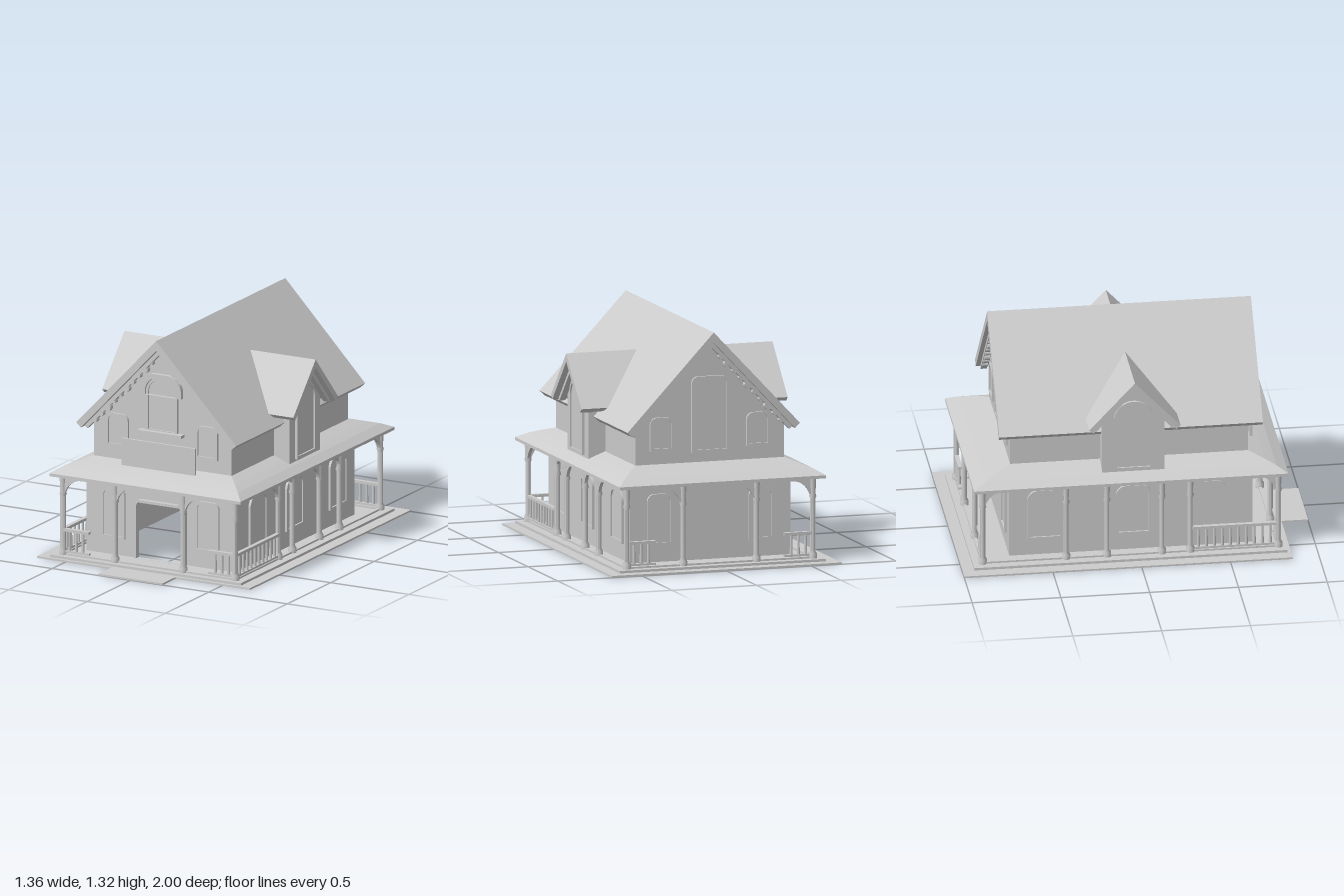
import * as THREE from 'three';

const material = new THREE.MeshStandardMaterial({ color: 0xcccccc, side: THREE.DoubleSide });

function add(parent, name, geometry, x = 0, y = 0, z = 0, ry = 0) {
  const mesh = new THREE.Mesh(geometry, material);
  mesh.name = name;
  mesh.position.set(x, y, z);
  mesh.rotation.y = ry;
  parent.add(mesh);
  return mesh;
}

const box = (w, h, d) => new THREE.BoxGeometry(w, h, d);
const poly = (pts) => new THREE.Shape(pts.map(([x, y]) => new THREE.Vector2(x, y)));
const extrude = (shape, depth) =>
  new THREE.ExtrudeGeometry(shape, { depth, bevelEnabled: false, curveSegments: 10 });

// Rectangle whose top corners are rounded into an arch
function arch(path, x0, x1, y0, y1, r) {
  const rx = Math.min(r, (x1 - x0) / 2), k = 0.45;
  path.moveTo(x0, y0);
  path.lineTo(x1, y0);
  path.lineTo(x1, y1 - r);
  path.bezierCurveTo(x1, y1 - r * k, x1 - rx * k, y1, x1 - rx, y1);
  path.lineTo(x0 + rx, y1);
  path.bezierCurveTo(x0 + rx * k, y1, x0, y1 - r * k, x0, y1 - r);
  path.lineTo(x0, y0);
  return path;
}

// Horizontal plate, optionally with a rectangular hole: rect = [x, zBack, zFront]
function slab(rect, hole, y0, y1) {
  const pts = ([x, zb, zf]) => [[-x, zb], [x, zb], [x, zf], [-x, zf]];
  const shape = poly(pts(rect));
  if (hole) shape.holes.push(poly(pts(hole)));
  return extrude(shape, y1 - y0).rotateX(Math.PI / 2).translate(0, y1, 0);
}

// Inverted V section with thickness t measured square to the slope
function chevron(half, eave, peak, t) {
  const len = Math.hypot(half, peak - eave);
  const nx = (t * (peak - eave)) / len, ny = (t * half) / len;
  return poly([[-half, eave], [-half + nx, eave - ny], [0, peak - (t * len) / half],
    [half - nx, eave - ny], [half, eave], [0, peak]]);
}

// Raised frame with a shallow pane, facing +z before rotation
function addWindow(parent, name, w, h, r, x, y, z, ry = 0) {
  const group = new THREE.Group();
  group.name = name;
  const f = 0.015;
  const frame = arch(new THREE.Shape(), -w / 2, w / 2, 0, h, r);
  frame.holes.push(arch(new THREE.Path(), -w / 2 + f, w / 2 - f, f, h - f, Math.max(r - f, 0.01)));
  add(group, 'windowFrame', extrude(frame, 0.014));
  add(group, 'windowPane', extrude(arch(new THREE.Shape(), -w / 2 + f, w / 2 - f, f, h - f, Math.max(r - f, 0.01)), 0.005));
  group.position.set(x, y, z);
  group.rotation.y = ry;
  parent.add(group);
}

// Hipped, slightly concave porch roof swept around a rectangle
function porchRoofGeometry() {
  const profile = [[0, 0.48], [0, 0.497], [0.3, 0.528], [0.6, 0.55], [1, 0.575], [1.2, 0.575], [1.2, 0.47], [0.25, 0.47]];
  const lerp = THREE.MathUtils.lerp, pos = [];
  const corner = (k, [t, y]) => [
    lerp(0.61, 0.44, t) * (k % 4 < 2 ? 1 : -1), y,
    k % 4 === 0 || k % 4 === 3 ? lerp(0.835, 0.63, t) : lerp(-0.935, -0.71, t)];
  for (let k = 0; k < 4; k++) {
    profile.forEach((p, j) => {
      const q = profile[(j + 1) % profile.length];
      const a = corner(k, p), b = corner(k + 1, p), c = corner(k + 1, q), d = corner(k, q);
      pos.push(...a, ...b, ...c, ...a, ...c, ...d);
    });
  }
  const g = new THREE.BufferGeometry();
  g.setAttribute('position', new THREE.Float32BufferAttribute(pos, 3));
  g.computeVertexNormals();
  return g;
}

// Arched screen with turned posts at the given offsets
function addArcade(parent, name, posts, x, z, ry) {
  const group = new THREE.Group();
  group.name = name;
  const a = posts[0], b = posts[posts.length - 1], n = 0.013;
  const screen = poly([[a - n, 0.02], [b + n, 0.02], [b + n, 0.48], [a - n, 0.48]]);
  for (let i = 0; i < posts.length - 1; i++) {
    const l = posts[i] + n, r = posts[i + 1] - n;
    screen.holes.push(arch(new THREE.Path(), l, r, 0.034, 0.465, Math.min(0.11, (r - l) * 0.4)));
  }
  add(group, 'archScreen', extrude(screen, 0.018).translate(0, 0, -0.009));
  const profile = [[0.024, 0.02], [0.024, 0.05], [0.015, 0.065], [0.015, 0.36], [0.021, 0.375], [0.016, 0.39], [0.02, 0.48]]
    .map(([r, y]) => new THREE.Vector2(r, y));
  posts.forEach((p) => add(group, 'porchPost', new THREE.LatheGeometry(profile, 12), p));
  group.position.set(x, 0, z);
  group.rotation.y = ry;
  parent.add(group);
}

// Handrail with balusters from one ground point to another
function addRailing(parent, x0, z0, x1, z1) {
  const group = new THREE.Group();
  group.name = 'railing';
  const len = Math.hypot(x1 - x0, z1 - z0), n = Math.round(len / 0.045);
  add(group, 'handrail', box(len, 0.016, 0.024), len / 2, 0.168);
  add(group, 'bottomRail', box(len, 0.012, 0.02), len / 2, 0.045);
  for (let i = 1; i < n; i++) add(group, 'baluster', new THREE.CylinderGeometry(0.007, 0.009, 0.12, 8), (i * len) / n, 0.105);
  group.position.set(x0, 0, z0);
  group.rotation.y = -Math.atan2(z1 - z0, x1 - x0);
  parent.add(group);
}

export function createModel() {
  const house = new THREE.Group();
  house.name = 'house';
  const H = Math.PI / 2, sides = [1, -1];

  // Ground plate, porch floor and front step
  const inside = [0.455, -0.7, 0.63];
  add(house, 'groundPlate', slab([0.68, -1, 0.85], inside, 0, 0.01));
  add(house, 'porchFloor', slab([0.61, -0.935, 0.83], inside, 0.01, 0.024));
  add(house, 'frontStep', box(0.41, 0.01, 0.16), 0, 0.005, 0.92);

  // Ground floor walls, hollow, with an open doorway
  const front = poly([[-0.475, 0.01], [0.475, 0.01], [0.475, 0.5], [-0.475, 0.5]]);
  front.holes.push(arch(new THREE.Path(), -0.15, 0.15, 0.024, 0.35, 0.02));
  add(house, 'frontWall', extrude(front, 0.02), 0, 0, 0.63);
  add(house, 'backWall', box(0.95, 0.49, 0.02), 0, 0.255, -0.71);
  for (const s of sides) add(house, 'sideWall', box(0.02, 0.49, 1.35), s * 0.465, 0.255, -0.035);
  const doorFrame = arch(new THREE.Shape(), -0.165, 0.165, 0.024, 0.362, 0.03);
  doorFrame.holes.push(arch(new THREE.Path(), -0.15, 0.15, 0.025, 0.35, 0.02));
  add(house, 'doorFrame', extrude(doorFrame, 0.02), 0, 0, 0.645);
  add(house, 'doorHood', box(0.26, 0.014, 0.035), 0, 0.362, 0.66);

  // Upper walls with gables
  const gable = poly([[-0.44, 0.5], [0.44, 0.5], [0.44, 0.8], [0, 1.27], [-0.44, 0.8]]);
  add(house, 'frontGable', extrude(gable, 0.02), 0, 0, 0.61);
  add(house, 'backGable', extrude(gable, 0.02), 0, 0, -0.71);
  for (const s of sides) add(house, 'upperSideWall', box(0.02, 0.29, 1.32), s * 0.43, 0.645, -0.04);

  // Main roof with scalloped gable trim
  add(house, 'mainRoof', extrude(chevron(0.51, 0.775, 1.315, 0.04), 1.485), 0, 0, -0.78);
  for (const z of [0.64, -0.755]) {
    add(house, 'gableTrim', extrude(chevron(0.475, 0.757, 1.26, 0.025), 0.035), 0, 0, z);
    for (const s of sides) for (let i = 0; i < 10; i++) {
      const t = 0.12 + i * 0.087, big = i % 3 === 1;
      add(house, 'trimScallop', new THREE.CylinderGeometry(big ? 0.022 : 0.014, big ? 0.022 : 0.014, 0.03, 12).rotateX(H),
        s * 0.455 * t, 1.228 - 0.482 * t, z + 0.0175);
    }
  }

  // Porch roof, front panel, arcades and railings
  add(house, 'porchRoof', porchRoofGeometry());
  add(house, 'frontPanel', box(0.47, 0.16, 0.014), 0, 0.635, 0.675);
  const across = [-0.55, -0.217, 0.217, 0.55];
  addArcade(house, 'frontArcade', across, 0, 0.785, 0);
  addArcade(house, 'backArcade', across, 0, -0.88, 0);
  for (const s of sides) {
    addArcade(house, 'sideArcade', [-0.785, -0.29, -0.13, 0.18, 0.41, 0.88], s * 0.55, 0, H);
    addRailing(house, s * 0.55, 0.785, s * 0.38, 0.785);
    addRailing(house, s * 0.55, -0.88, s * 0.38, -0.88);
    addRailing(house, s * 0.55, 0.785, s * 0.55, 0.29);
  }

  // Cross-gable dormers
  for (const s of sides) {
    const dormer = new THREE.Group();
    dormer.name = 'dormer';
    const wall = poly([[-0.175, 0.5], [0.175, 0.5], [0.175, 0.87], [0, 1.07], [-0.175, 0.87]]);
    add(dormer, 'dormerWall', extrude(wall, 0.11), 0, 0, 0.43);
    add(dormer, 'dormerRoof', extrude(chevron(0.257, 0.835, 1.11, 0.032), 0.43), 0, 0, 0.18);
    add(dormer, 'dormerTrim', extrude(chevron(0.23, 0.822, 1.068, 0.022), 0.035), 0, 0, 0.54);
    addWindow(dormer, 'dormerWindow', 0.22, 0.42, 0.11, 0, 0.55, 0.54);
    dormer.position.z = -0.03;
    dormer.rotation.y = s * H;
    house.add(dormer);
    // Ground floor side windows
    for (const z of [0.4, -0.02, -0.52]) addWindow(house, 'sideWindow', 0.2, 0.3, 0.06, s * 0.475, 0.12, z, s * H);
    // Front and back windows beside the centre line
    addWindow(house, 'frontWindow', 0.15, 0.29, 0.04, s * 0.3, 0.12, 0.65);
    addWindow(house, 'backWindow', 0.15, 0.29, 0.04, s * 0.3, 0.12, -0.72, Math.PI);
    addWindow(house, 'upperFrontWindow', 0.14, 0.19, 0.04, s * 0.285, 0.65, 0.63);
    addWindow(house, 'upperBackWindow', 0.14, 0.19, 0.04, s * 0.285, 0.65, -0.71, Math.PI);
  }

  // Centre gable windows
  addWindow(house, 'centreWindow', 0.2, 0.32, 0.09, 0, 0.765, 0.63);
  add(house, 'centreSill', box(0.28, 0.018, 0.045), 0, 0.765, 0.65);
  const hood = arch(new THREE.Shape(), -0.13, 0.13, 0.98, 1.105, 0.09);
  hood.holes.push(arch(new THREE.Path(), -0.1, 0.1, 0.981, 1.085, 0.085));
  add(house, 'centreHood', extrude(hood, 0.025), 0, 0, 0.63);
  addWindow(house, 'backCentreWindow', 0.22, 0.43, 0.04, 0, 0.63, -0.71, Math.PI);
  return house;
}
